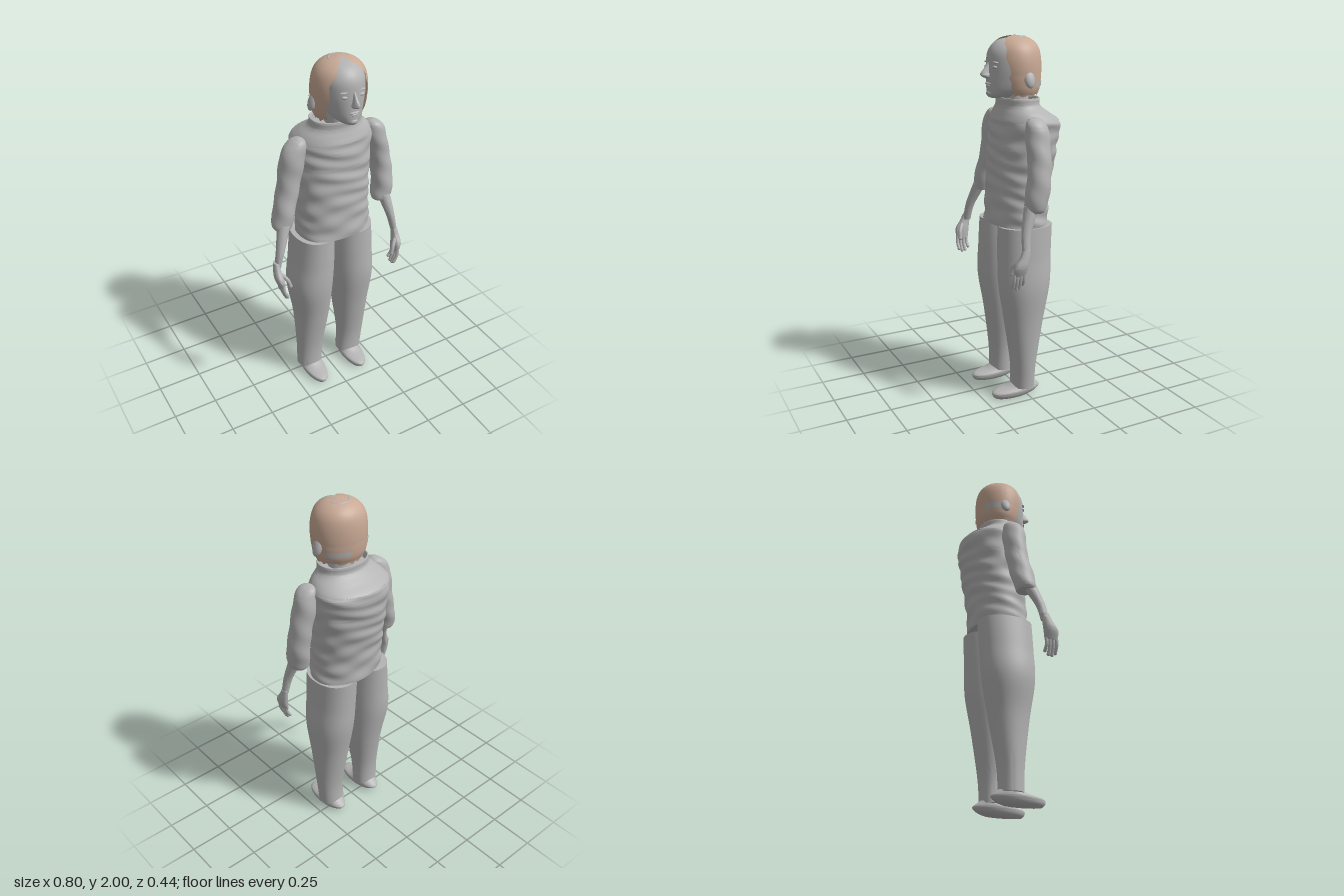
import * as THREE from 'three';
import { toCreasedNormals } from 'three/addons/utils/BufferGeometryUtils.js';

const grey = new THREE.MeshStandardMaterial({ color: 0xb4b4b4 });
grey.name = 'plain grey';
const tan = new THREE.MeshStandardMaterial({ color: 0xc8a995, side: THREE.DoubleSide });
tan.name = 'hair tan';

const hash = (n) => { const s = Math.sin(n * 127.1 + 3.7) * 43758.5453; return s - Math.floor(s); };

function mesh(parent, name, geometry, material = grey) {
  const m = new THREE.Mesh(geometry, material);
  m.name = name;
  parent.add(m);
  return m;
}

// smooth interpolation through a list of cross-sections
function sample(rows, t) {
  const f = t * (rows.length - 1), i = Math.min(Math.floor(f), rows.length - 2), u = f - i;
  const at = (k) => rows[Math.max(0, Math.min(rows.length - 1, k))];
  return rows[0].map((_, c) => {
    const [p, q, r, s] = [at(i - 1)[c], at(i)[c], at(i + 1)[c], at(i + 2)[c]];
    return q + 0.5 * u * (r - p + u * (2 * p - 5 * q + 4 * r - s + u * (3 * (q - r) + s - p)));
  });
}

// closed body from horizontal sections [y, cx, cz, rx, rz], listed bottom to top
function loft(rows, { seg = 32, steps = 6, power = 2, wrinkle = null } = {}) {
  const n = (rows.length - 1) * steps, pos = [], idx = [];
  const bend = (v) => Math.sign(v) * Math.abs(v) ** (2 / power);
  for (let i = 0; i <= n; i++) {
    const [y, cx, cz, rx, rz] = sample(rows, i / n);
    for (let j = 0; j < seg; j++) {
      const a = (j / seg) * Math.PI * 2, w = wrinkle ? wrinkle(y, a) : 0;
      pos.push(cx + (rx + w) * bend(Math.sin(a)), y, cz + (rz + w) * bend(Math.cos(a)));
    }
  }
  for (let i = 0; i < n; i++) for (let j = 0; j < seg; j++) {
    const a = i * seg + j, b = i * seg + (j + 1) % seg;
    idx.push(a, b, a + seg, b, b + seg, a + seg);
  }
  const first = rows[0], last = rows[rows.length - 1], c = pos.length / 3;
  pos.push(first[1], first[0], first[2], last[1], last[0], last[2]);
  for (let j = 0; j < seg; j++) {
    const k = (j + 1) % seg;
    idx.push(c, k, j, c + 1, n * seg + j, n * seg + k);
  }
  const g = new THREE.BufferGeometry();
  g.setAttribute('position', new THREE.Float32BufferAttribute(pos, 3));
  g.setIndex(idx);
  return toCreasedNormals(g, 0.9);
}

function tube(points, radius) {
  const curve = new THREE.CatmullRomCurve3(points.map((p) => new THREE.Vector3(...p)));
  return new THREE.TubeGeometry(curve, 10, radius, 8);
}

function blob(parent, name, position, scale) {
  const m = mesh(parent, name, new THREE.SphereGeometry(1, 20, 14));
  m.position.set(...position);
  m.scale.set(...scale);
  return m;
}

// hair sections, bottom to top: [y, cz, rx, rz, half angle of the opening at the face]
const HX = 0.065;
const hairRows = [
  [1.695, 0.015, 0.128, 0.108, 0.92], [1.73, 0.015, 0.143, 0.123, 0.9], [1.79, 0.018, 0.15, 0.133, 0.87],
  [1.86, 0.02, 0.15, 0.137, 0.82], [1.92, 0.02, 0.138, 0.13, 0.74], [1.96, 0.02, 0.113, 0.11, 0.6],
  [1.987, 0.02, 0.073, 0.072, 0.5], [1.998, 0.02, 0.025, 0.025, 0.4], [2.0, 0.02, 0.001, 0.001, 0.4],
];

// open sheet lying on the hair surface
function hairSheet(t0, t1, angle0, angle1, lift, ragged) {
  const cols = 44, lines = 28, g = new THREE.PlaneGeometry(1, 1, cols, lines), p = g.attributes.position;
  for (let i = 0; i <= lines; i++) for (let j = 0; j <= cols; j++) {
    const [y, cz, rx, rz, gap] = sample(hairRows, t1 + (t0 - t1) * i / lines);
    const jag = ragged ? (hash(i) - 0.5) * 0.12 : 0;
    const from = ragged ? gap + jag : angle0, to = ragged ? Math.PI * 2 - gap + jag : angle1;
    const a = from + (to - from) * j / cols;
    const drop = ragged && i === lines ? (hash(j + 50) - 0.5) * 0.025 : 0;
    p.setXYZ(i * (cols + 1) + j, HX + (rx + lift) * Math.sin(a), y + drop, cz + (rz + lift) * Math.cos(a));
  }
  return toCreasedNormals(g, 0.6);
}

function buildHead(root) {
  const head = new THREE.Group();
  head.name = 'head';
  root.add(head);
  mesh(head, 'neck', loft([[1.6, HX, 0, 0.075, 0.07], [1.67, HX, 0.01, 0.066, 0.065], [1.76, HX, 0.015, 0.07, 0.07]]));
  mesh(head, 'skull', loft([
    [1.682, HX, 0.11, 0.02, 0.045], [1.692, HX, 0.09, 0.048, 0.085], [1.72, HX, 0.07, 0.078, 0.108],
    [1.77, HX, 0.055, 0.1, 0.122], [1.84, HX, 0.042, 0.117, 0.133], [1.91, HX, 0.035, 0.117, 0.133],
    [1.955, HX, 0.03, 0.093, 0.112], [1.98, HX, 0.025, 0.058, 0.075], [1.99, HX, 0.02, 0.008, 0.01],
  ]));
  // face
  mesh(head, 'nose', loft([
    [1.784, HX, 0.175, 0.012, 0.014], [1.796, HX, 0.183, 0.021, 0.03], [1.81, HX, 0.183, 0.016, 0.035],
    [1.84, HX, 0.172, 0.01, 0.022], [1.865, HX, 0.162, 0.008, 0.014],
  ], { seg: 16 }));
  blob(head, 'upperLip', [HX, 1.758, 0.173], [0.028, 0.006, 0.013]);
  blob(head, 'lowerLip', [HX, 1.746, 0.17], [0.023, 0.007, 0.013]);
  blob(head, 'chin', [HX, 1.707, 0.155], [0.03, 0.02, 0.028]);
  for (const s of [-1, 1]) {
    blob(head, 'eye', [HX + s * 0.045, 1.842, 0.158], [0.02, 0.009, 0.012]);
    blob(head, 'brow', [HX + s * 0.046, 1.867, 0.154], [0.027, 0.006, 0.014]).rotation.z = -s * 0.1;
    blob(head, 'ear', [HX + s * 0.145, 1.785, 0.01], [0.02, 0.05, 0.03]).rotation.z = s * 0.35;
  }
  // hair with bare patches
  mesh(head, 'hair', hairSheet(0, 1, 0, 0, 0, true), tan);
  mesh(head, 'napePatchLeft', hairSheet(0.15, 0.21, 2.0, 2.9, 0.003), grey);
  mesh(head, 'napePatchRight', hairSheet(0.2, 0.27, 3.7, 4.5, 0.003), grey);
  const arch = mesh(head, 'crownArch', new THREE.TorusGeometry(0.053, 0.009, 8, 32, Math.PI));
  arch.position.set(HX, 1.986, 0.02);
  arch.rotation.x = -Math.PI / 2;
}

function buildHand(root, side, x, y) {
  const hand = new THREE.Group();
  hand.name = side > 0 ? 'leftHand' : 'rightHand';
  hand.position.set(x, y, 0);
  root.add(hand);
  mesh(hand, 'palm', loft([
    [-0.13, -side * 0.01, 0.148, 0.015, 0.036], [-0.08, 0, 0.145, 0.024, 0.041],
    [-0.03, side * 0.003, 0.125, 0.019, 0.029], [0.01, 0, 0.113, 0.016, 0.022],
  ], { seg: 20 }));
  for (let i = 0; i < 4; i++) {
    const z = 0.12 + i * 0.019, end = -0.185 - [0, 0.018, 0.02, 0.008][i];
    const tip = [-side * 0.03, end, z + 0.002];
    mesh(hand, 'finger', tube([[-side * 0.006, -0.11, z], [-side * 0.012, -0.155, z + 0.004], tip], 0.0095));
    blob(hand, 'fingertip', tip, [0.0095, 0.0095, 0.0095]);
  }
  const tip = [-side * 0.048, -0.125, 0.178];
  mesh(hand, 'thumb', tube([[-side * 0.01, -0.05, 0.15], [-side * 0.036, -0.085, 0.172], tip], 0.011));
  blob(hand, 'thumbTip', tip, [0.011, 0.011, 0.011]);
}

export function createModel() {
  const root = new THREE.Group();
  root.name = 'standingFigure';
  const folds = (y, a) => (y > 1.56 ? 0 : 0.0028 * Math.sin(75 * y + 2.2 * Math.sin(2 * a + 9 * y))
    + 0.0022 * Math.sin(43 * y + 5 * a));
  const softFolds = (y, a) => 0.0018 * Math.sin(48 * y + 2 * a);

  // tunic with a stand-up collar
  mesh(root, 'tunic', loft([
    [1.0, 0.04, 0.003, 0.216, 0.156], [1.15, 0.04, -0.005, 0.212, 0.158], [1.3, 0.045, -0.02, 0.212, 0.168],
    [1.43, 0.05, -0.033, 0.218, 0.174], [1.53, 0.053, -0.043, 0.224, 0.176], [1.565, 0.055, -0.04, 0.218, 0.17],
    [1.6, 0.056, -0.02, 0.193, 0.137], [1.64, 0.057, -0.002, 0.15, 0.106], [1.678, 0.058, 0, 0.143, 0.105],
    [1.676, 0.058, 0, 0.133, 0.095], [1.645, 0.058, 0, 0.125, 0.09],
  ], { seg: 64, steps: 12, power: 2.15, wrinkle: folds }));

  // trouser legs and shoes
  const legs = [
    ['right', [[-0.125, 0.075], [-0.12, 0.08], [-0.107, 0.104], [-0.112, 0.127], [-0.098, 0.122], [-0.087, 0.113]], -0.122],
    ['left', [[0.148, 0.077], [0.158, 0.082], [0.155, 0.106], [0.155, 0.126], [0.147, 0.125], [0.143, 0.122]], 0.145],
  ];
  const levels = [[0.055, 0.015, 0.065], [0.2, 0.015, 0.07], [0.45, 0.012, 0.108],
    [0.66, 0.008, 0.143], [0.83, 0.004, 0.149], [1.0, -0.002, 0.152]];
  for (const [name, across, shoeX] of legs) {
    mesh(root, name + 'TrouserLeg', loft(levels.map(([y, cz, rz], i) => [y, across[i][0], cz, across[i][1], rz]),
      { seg: 40, steps: 8, power: 2.15 }));
    mesh(root, name + 'Shoe', loft([
      [0, shoeX, 0.075, 0.045, 0.11], [0.012, shoeX, 0.064, 0.056, 0.132], [0.03, shoeX, 0.055, 0.063, 0.145],
      [0.042, shoeX, 0.045, 0.064, 0.135], [0.056, shoeX, 0.02, 0.06, 0.092], [0.075, shoeX, 0.012, 0.056, 0.06],
    ], { seg: 32, steps: 4 }));
  }

  // sleeves and forearms
  mesh(root, 'leftSleeve', loft([
    [1.115, 0.328, 0.042, 0.05, 0.05], [1.14, 0.333, 0.04, 0.058, 0.059], [1.22, 0.343, 0.03, 0.06, 0.065],
    [1.35, 0.333, 0.015, 0.059, 0.062], [1.48, 0.305, 0.011, 0.06, 0.065], [1.55, 0.292, 0.012, 0.052, 0.06],
    [1.585, 0.28, 0.012, 0.036, 0.042], [1.598, 0.275, 0.012, 0.008, 0.01],
  ], { seg: 32, wrinkle: softFolds }));
  mesh(root, 'rightSleeve', loft([
    [1.115, -0.287, 0.042, 0.05, 0.05], [1.14, -0.288, 0.04, 0.056, 0.059], [1.22, -0.268, 0.03, 0.06, 0.065],
    [1.35, -0.232, 0.015, 0.063, 0.062], [1.48, -0.206, 0.011, 0.069, 0.065], [1.55, -0.189, 0.012, 0.06, 0.06],
    [1.59, -0.172, 0.012, 0.038, 0.042], [1.604, -0.167, 0.012, 0.008, 0.01],
  ], { seg: 32, wrinkle: softFolds }));
  mesh(root, 'leftForearm', loft([[0.92, 0.38, 0.115, 0.017, 0.022], [1.02, 0.36, 0.104, 0.024, 0.027], [1.15, 0.333, 0.06, 0.038, 0.04]]));
  mesh(root, 'rightForearm', loft([[0.92, -0.362, 0.115, 0.017, 0.022], [1.02, -0.335, 0.104, 0.024, 0.027], [1.15, -0.288, 0.06, 0.036, 0.04]]));
  buildHand(root, 1, 0.381, 0.925);
  buildHand(root, -1, -0.368, 0.945);

  buildHead(root);
  return root;
}
